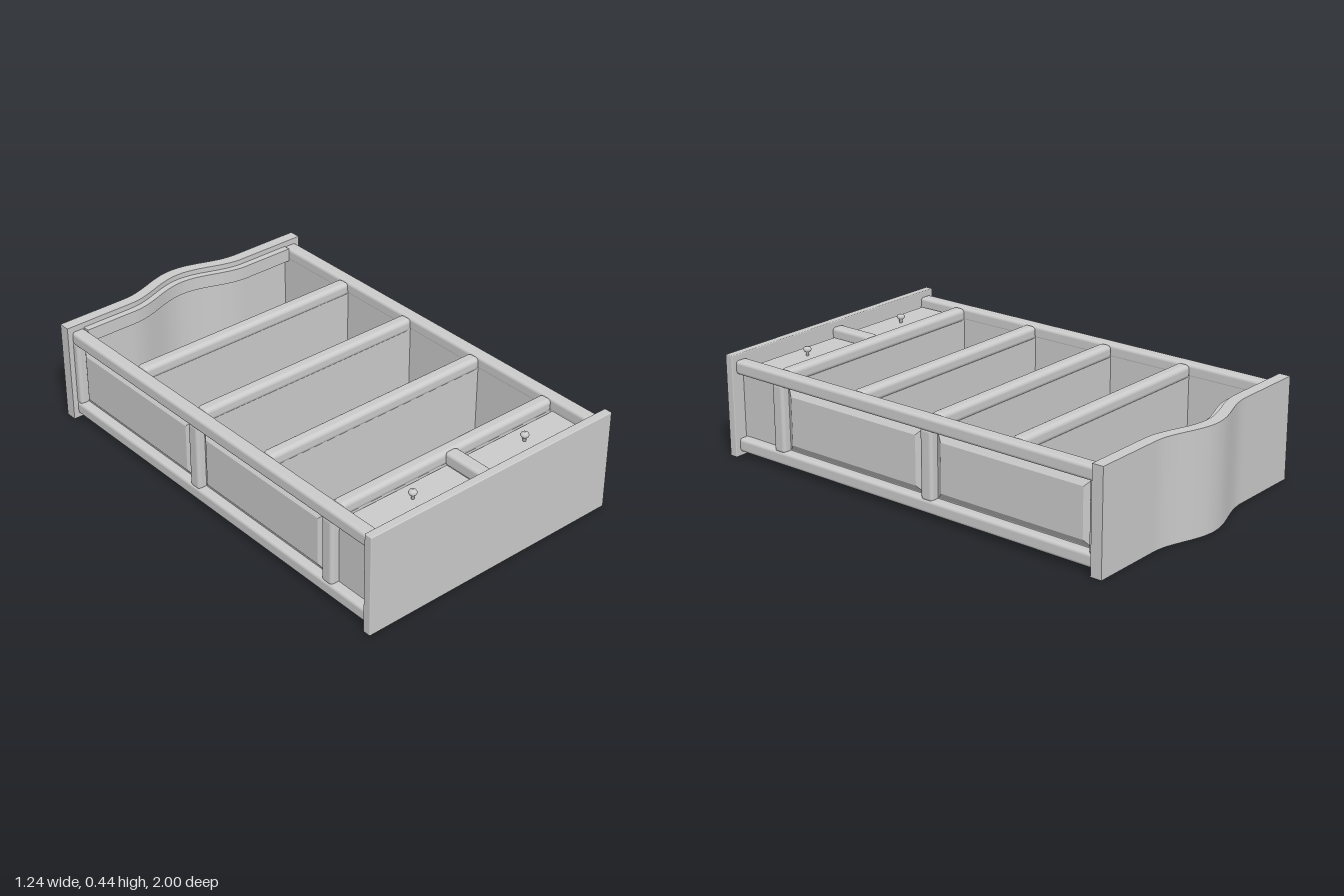
import * as THREE from 'three';
import { RoundedBoxGeometry } from 'three/addons/geometries/RoundedBoxGeometry.js';

const material = new THREE.MeshStandardMaterial({ color: 0xcccccc });

function add(parent, name, geometry, x = 0, y = 0, z = 0) {
  const mesh = new THREE.Mesh(geometry, material);
  mesh.name = name;
  mesh.position.set(x, y, z);
  parent.add(mesh);
  return mesh;
}

// Box given by its extents; r rounds the edges
function block(parent, name, x0, x1, y0, y1, z0, z1, r = 0) {
  const size = [x1 - x0, y1 - y0, z1 - z0];
  const geometry = r ? new RoundedBoxGeometry(...size, 3, r) : new THREE.BoxGeometry(...size);
  return add(parent, name, geometry, (x0 + x1) / 2, (y0 + y1) / 2, (z0 + z1) / 2);
}

// Raised panel: a slab whose +y face is drawn in by a bevel
function raisedPanel(w, h, d, bevel) {
  const g = new THREE.BoxGeometry(w, h, d);
  const p = g.attributes.position;
  for (let i = 0; i < p.count; i++) {
    if (p.getY(i) < 0) continue;
    p.setX(i, p.getX(i) - Math.sign(p.getX(i)) * bevel);
    p.setZ(i, p.getZ(i) - Math.sign(p.getZ(i)) * bevel);
  }
  g.computeVertexNormals();
  return g;
}

// Ogee line of the crown: flat at the ends, arched in the middle
const arch = (x) => (Math.abs(x) < 0.3 ? 0.035 * (1 + Math.cos((Math.PI * x) / 0.3)) : 0);

function archPoints(half, offset) {
  const pts = [new THREE.Vector2(-half, offset)];
  for (let i = 0; i <= 32; i++) {
    const x = -0.3 + (0.6 * i) / 32;
    pts.push(new THREE.Vector2(x, offset + arch(x)));
  }
  pts.push(new THREE.Vector2(half, offset));
  return pts;
}

// Shape in the x / -z plane, extruded upwards from y0 to y1
function standing(points, y0, y1) {
  const g = new THREE.ExtrudeGeometry(new THREE.Shape(points), { depth: y1 - y0, bevelEnabled: false });
  return g.rotateX(-Math.PI / 2).translate(0, y0, 0);
}

function archedBand(half, inner, outer, y0, y1) {
  return standing([...archPoints(half, inner), ...archPoints(half, outer).reverse()], y0, y1);
}

export function createModel() {
  const model = new THREE.Group();
  model.name = 'bookcase';

  // Base slab and arched crown
  block(model, 'base', -0.62, 0.62, 0, 0.445, 0.963, 1, 0.004);
  add(model, 'crown', archedBand(0.62, 0.88, 0.93, 0, 0.443));
  add(model, 'crownTrim', archedBand(0.54, 0.85, 0.885, 0.36, 0.42));

  // Back panel, following the arch at its top
  const outline = [
    new THREE.Vector2(0.545, -0.965),
    ...archPoints(0.545, 0.885).reverse(),
    new THREE.Vector2(-0.545, -0.965),
  ];
  add(model, 'backPanel', standing(outline, 0.045, 0.07));

  // Side frames, mirrored
  for (const s of [1, -1]) {
    const side = new THREE.Group();
    side.name = s > 0 ? 'leftSide' : 'rightSide';
    model.add(side);
    const span = (a, b) => (s > 0 ? [a, b] : [-b, -a]);
    block(side, 'frontPost', ...span(0.54, 0.6), 0.36, 0.42, -0.885, 0.968, 0.015);
    block(side, 'backPost', ...span(0.54, 0.6), 0.02, 0.08, -0.885, 0.968, 0.015);
    block(side, 'sideBoard', ...span(0.541, 0.56), 0.06, 0.38, -0.885, 0.968);
    for (const z of [0.73, -0.07, -0.88]) {
      block(side, 'crossRail', ...span(0.543, 0.597), 0.07, 0.37, z - 0.03, z + 0.03, 0.015);
    }
    for (const [z0, z1] of [[-0.85, -0.1], [-0.04, 0.7]]) {
      const panel = add(side, 'sidePanel', raisedPanel(0.28, 0.024, z1 - z0, 0.035),
        s * 0.57, 0.22, (z0 + z1) / 2);
      panel.rotation.z = -s * Math.PI / 2;
    }
  }

  // Shelves with rounded front rails
  for (const z of [-0.477, -0.08, 0.325, 0.73]) {
    block(model, 'shelf', -0.545, 0.545, 0.06, 0.38, z - 0.024, z + 0.024);
    block(model, 'shelfRail', -0.545, 0.545, 0.36, 0.42, z - 0.03, z + 0.03, 0.02);
  }

  // Drawers and the stile between them
  block(model, 'drawerStile', -0.03, 0.03, 0.36, 0.42, 0.75, 0.97, 0.015);
  const knobProfile = [[0, 0], [0.007, 0], [0.007, 0.016], [0.015, 0.022], [0.018, 0.03], [0.014, 0.038], [0, 0.042]]
    .map(([x, y]) => new THREE.Vector2(x, y));
  for (const s of [1, -1]) {
    const drawer = new THREE.Group();
    drawer.name = s > 0 ? 'leftDrawer' : 'rightDrawer';
    drawer.position.set(s * 0.284, 0, 0.861);
    model.add(drawer);
    block(drawer, 'drawerBox', -0.25, 0.25, 0.09, 0.37, -0.092, 0.092);
    add(drawer, 'drawerFront', raisedPanel(0.5, 0.016, 0.18, 0.014), 0, 0.377, 0);
    add(drawer, 'knob', new THREE.LatheGeometry(knobProfile, 16), s * 0.006, 0.383, -0.003);
  }

  return model;
}
